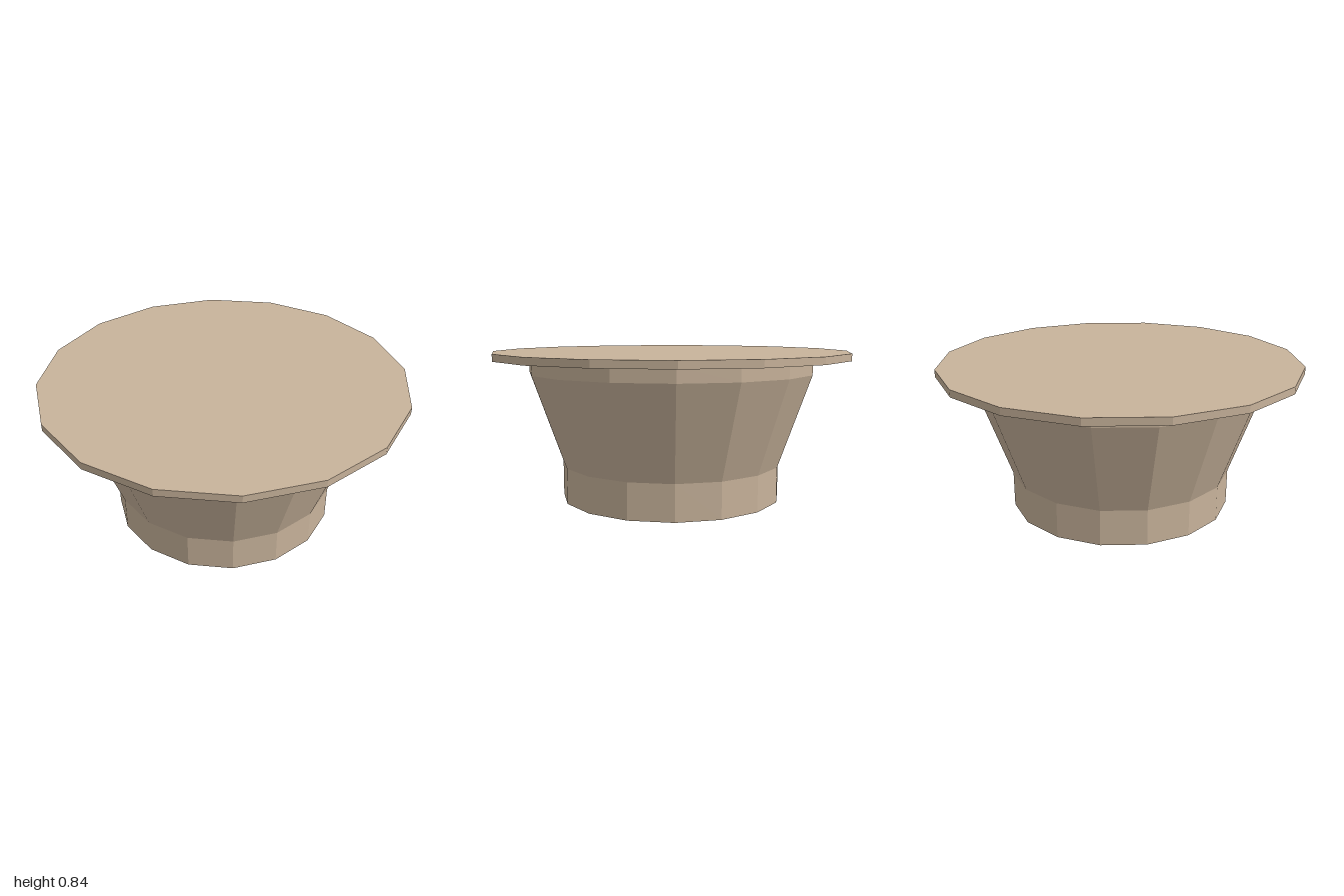
import * as THREE from 'three';

const SIDES = 16;
// Sizes are measured across flats; convert to corner radius
const FLAT = 1 / Math.cos(Math.PI / SIDES);

export function createModel() {
  const group = new THREE.Group();
  const material = new THREE.MeshStandardMaterial({ color: 0xc8b39b, flatShading: true });

  // Faceted solid from [half width, height] pairs, bottom to top, flats facing the axes
  const turned = (name, profile) => {
    const points = profile.map(([r, y]) => new THREE.Vector2(r * FLAT, y));
    const mesh = new THREE.Mesh(new THREE.LatheGeometry(points, SIDES, Math.PI / SIDES), material);
    mesh.name = name;
    group.add(mesh);
  };

  // Straight foot, flared wall and short straight collar, open under the top plate
  turned('body', [[0, 0], [0.62, 0], [0.62, 0.2], [0.8, 0.72], [0.8, 0.8]]);

  // Thin overhanging plate
  turned('topPlate', [[0, 0.8], [1, 0.8], [1, 0.84], [0, 0.84]]);

  return group;
}
